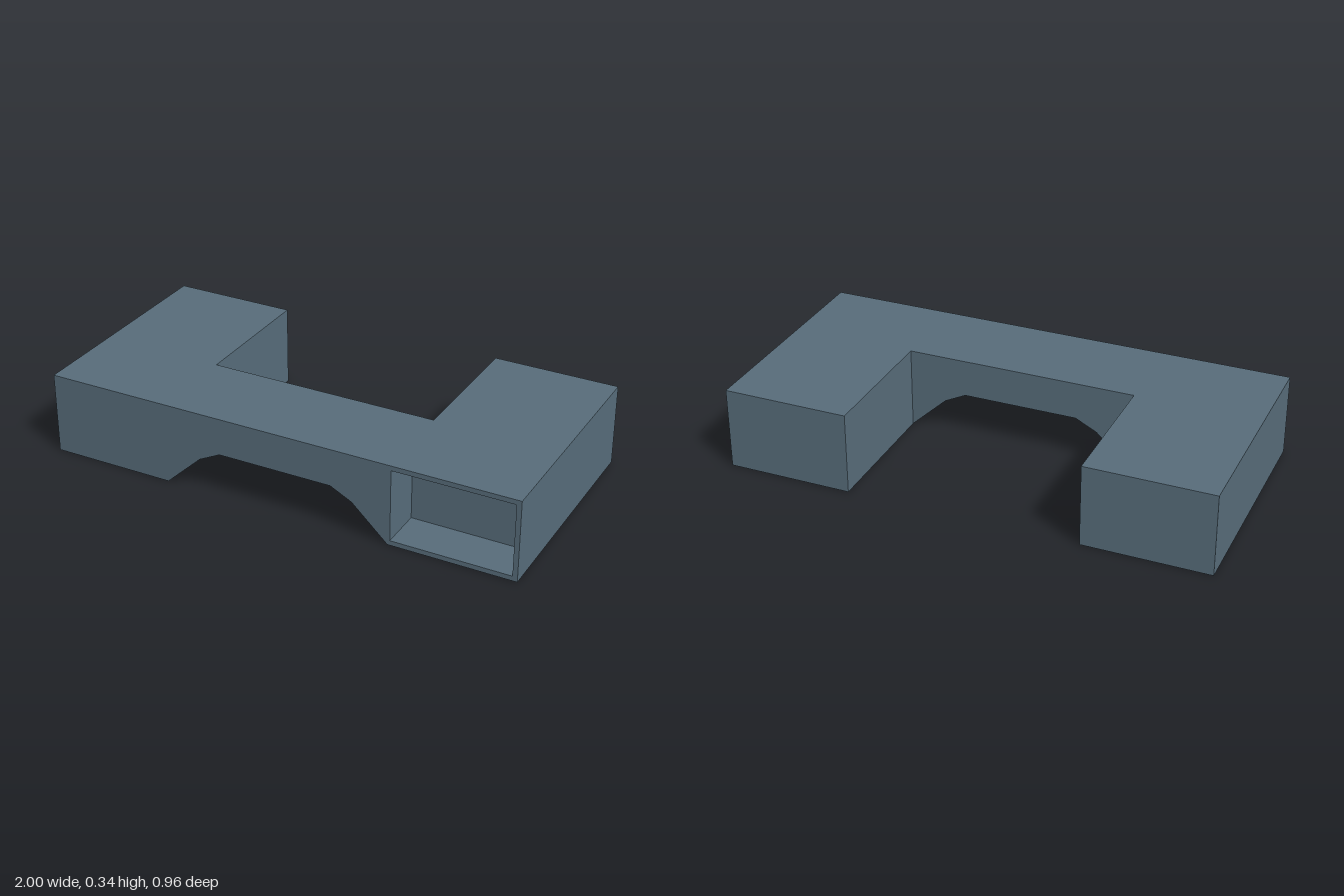
import * as THREE from 'three';

const HEIGHT = 0.34, INNER = 0.48, FRONT = 0.48, BRIDGE_BACK = 0.1, NICHE_BACK = 0.3;

// Front outline of the desk: two pedestals joined by a chamfered arch
function frontProfile() {
  return new THREE.Shape([
    [-1, 0], [-INNER, 0], [-0.33, 0.14], [-0.24, 0.185],
    [0.24, 0.185], [0.33, 0.14], [INNER, 0], [1, 0],
    [1, HEIGHT], [-1, HEIGHT],
  ].map(([x, y]) => new THREE.Vector2(x, y)));
}

export function createModel() {
  const group = new THREE.Group();
  const slate = new THREE.MeshStandardMaterial({ color: 0x576c7a });
  slate.name = 'slate';

  const add = (name, geometry, x, y, z) => {
    const mesh = new THREE.Mesh(geometry, slate);
    mesh.name = name;
    mesh.position.set(x, y, z);
    group.add(mesh);
  };
  const slab = (shape, depth) =>
    new THREE.ExtrudeGeometry(shape, { depth, bevelEnabled: false });

  // Rear half of the bridge, whose face closes the niche
  add('bridge', slab(frontProfile(), NICHE_BACK - BRIDGE_BACK), 0, 0, BRIDGE_BACK);

  // Front half, with the open niche cut into the left pedestal
  const face = frontProfile();
  face.holes.push(new THREE.Path([
    [0.49, 0.02], [0.49, 0.32], [0.98, 0.32], [0.98, 0.02],
  ].map(([x, y]) => new THREE.Vector2(x, y))));
  add('frontWithNiche', slab(face, FRONT - NICHE_BACK), 0, 0, NICHE_BACK);

  // Arms reaching backward on both sides; the right one is a touch shorter
  for (const [name, side, back] of [['leftArm', 1, -0.482], ['rightArm', -1, -0.475]]) {
    const width = 1 - INNER, depth = BRIDGE_BACK - back;
    add(name, new THREE.BoxGeometry(width, HEIGHT, depth),
      side * (1 + INNER) / 2, HEIGHT / 2, (BRIDGE_BACK + back) / 2);
  }
  return group;
}
